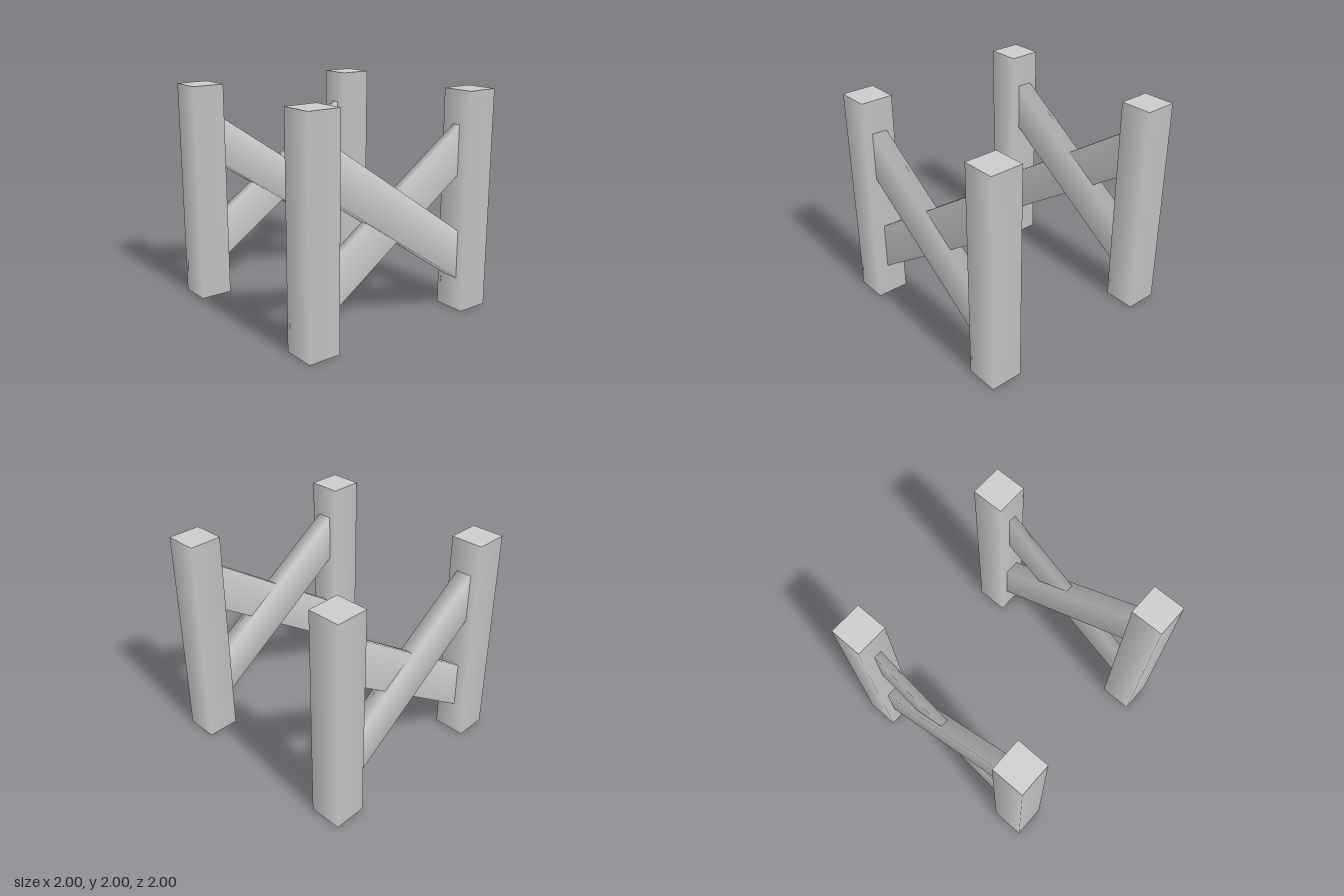
import * as THREE from 'three';

const material = new THREE.MeshStandardMaterial({ color: 0xcccccc });

// Unit square bar along y: softly shaded sides, flat ends
function squareBar() {
  return new THREE.CylinderGeometry(Math.SQRT1_2, Math.SQRT1_2, 1, 4).rotateY(Math.PI / 4);
}

// Upright square post standing on the ground
function post(name, x, z) {
  const mesh = new THREE.Mesh(squareBar().scale(0.3, 2, 0.3), material);
  mesh.name = name;
  mesh.position.set(x, 1, z);
  return mesh;
}

// Diagonal brace with vertical cut ends, sheared so it rises along z
function brace(name, x, thickness, slope) {
  const geometry = squareBar().rotateX(Math.PI / 2).scale(thickness, 0.445, 1.4);
  const shear = new THREE.Matrix4().set(
    1, 0, 0, 0,
    0, 1, slope, 0,
    0, 0, 1, 0,
    0, 0, 0, 1,
  );
  const mesh = new THREE.Mesh(geometry.applyMatrix4(shear), material);
  mesh.name = name;
  mesh.position.set(x, 1, 0);
  return mesh;
}

export function createModel() {
  const model = new THREE.Group();
  model.name = 'crossBracedPosts';
  const slope = 0.95 / 1.4;

  for (const [side, sign] of [['left', 1], ['right', -1]]) {
    const frame = new THREE.Group();
    frame.name = side + 'Frame';
    const x = 0.85 * sign;
    frame.add(
      post(side + 'FrontPost', x, 0.85),
      post(side + 'BackPost', x, -0.85),
      // thick brace is high at the front, thin brace is high at the back
      brace(side + 'ThickBrace', x, 0.145, slope),
      brace(side + 'ThinBrace', x, 0.075, -slope),
    );
    model.add(frame);
  }
  return model;
}
